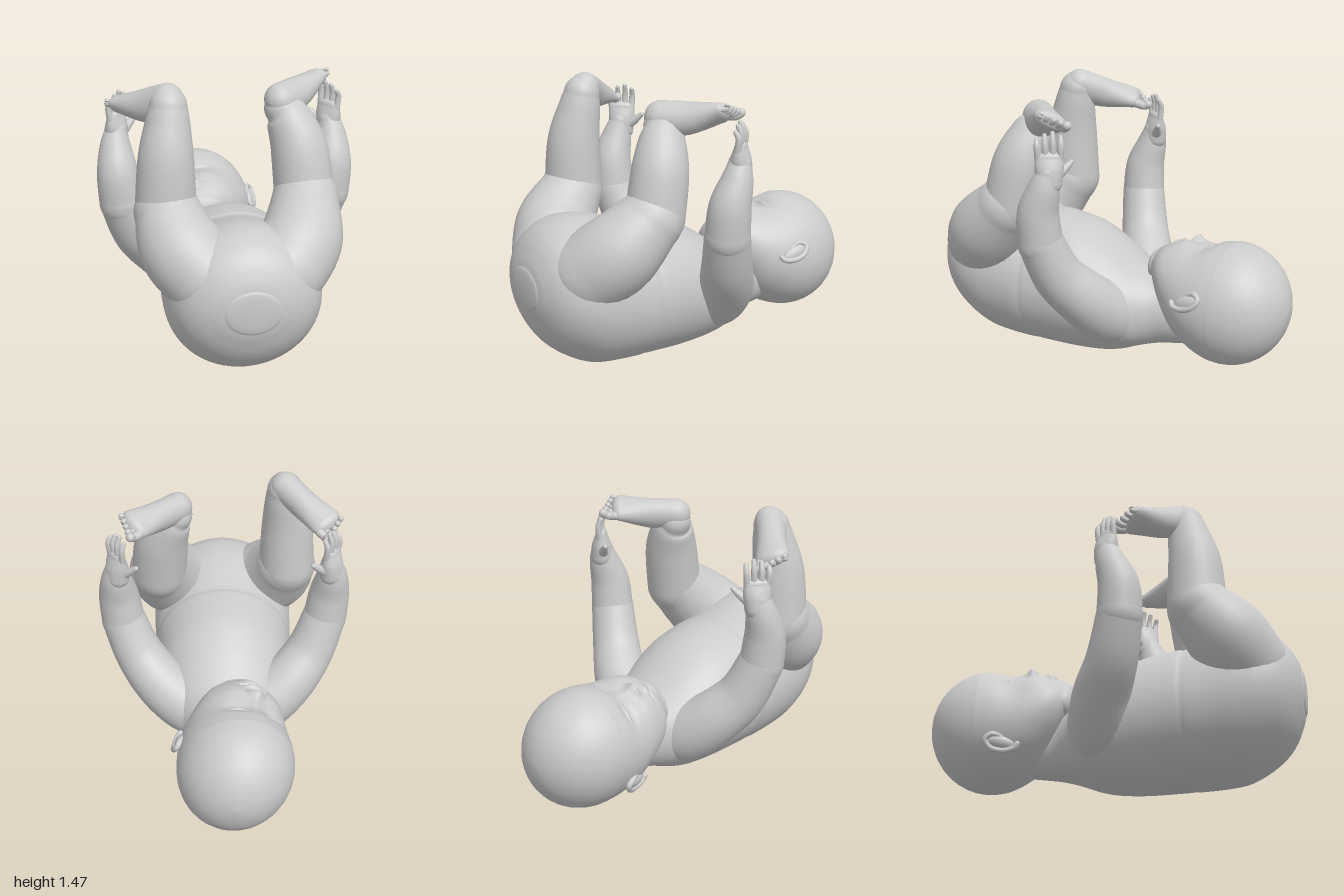
import * as THREE from 'three';

const material = new THREE.MeshStandardMaterial({ color: 0xcccccc, roughness: 0.8 });
const V = (x, y, z) => new THREE.Vector3(x, y, z);

// Catmull-Rom interpolation of whole station rows
function stationAt(rows, i, t) {
  const row = k => rows[Math.min(Math.max(k, 0), rows.length - 1)];
  const [p, q, r, s] = [row(i - 1), row(i), row(i + 1), row(i + 2)];
  return q.map((_, k) => 0.5 * (2 * q[k] + (r[k] - p[k]) * t
    + (2 * p[k] - 5 * q[k] + 4 * r[k] - s[k]) * t * t
    + (3 * q[k] - p[k] - 3 * r[k] + s[k]) * t * t * t));
}

// Smooth skin over elliptical stations [x, y, z, sideRadius, upRadius], with rounded ends
function sweep(stations, { up = V(0, 0, 1), axis, caps = [], sides = 28, steps = 8 } = {}) {
  const rows = stations.map(s => [s[0], s[1], s[2], s[3], s[4] ?? s[3]]);
  const line = [];
  for (let i = 0; i < rows.length - 1; i++)
    for (let k = 0; k < steps; k++) line.push(stationAt(rows, i, k / steps));
  line.push(rows[rows.length - 1]);
  const centre = line.map(s => V(s[0], s[1], s[2]));
  const last = line.length - 1;
  const rings = line.map((s, i) => ({
    c: centre[i], a: s[3], b: s[4],
    T: axis ?? centre[Math.min(i + 1, last)].clone().sub(centre[Math.max(i - 1, 0)]).normalize(),
  }));
  const capRings = (ring, length, dir) => Array.from({ length: 10 }, (_, k) => {
    const angle = (k + 1) / 10 * Math.PI / 2, f = Math.max(Math.cos(angle), 0.001);
    return { c: ring.c.clone().addScaledVector(ring.T, dir * length * Math.sin(angle)), a: ring.a * f, b: ring.b * f, T: ring.T };
  });
  const first = rings[0], end = rings[last];
  const all = [
    ...capRings(first, caps[0] ?? Math.min(first.a, first.b), -1).reverse(),
    ...rings,
    ...capRings(end, caps[1] ?? Math.min(end.a, end.b), 1),
  ];
  const pos = [], index = [];
  all.forEach(({ c, a, b, T }, i) => {
    const S = up.clone().cross(T).normalize(), N = T.clone().cross(S);
    for (let j = 0; j < sides; j++) {
      const w = j / sides * Math.PI * 2;
      const p = c.clone().addScaledVector(S, a * Math.cos(w)).addScaledVector(N, b * Math.sin(w));
      pos.push(p.x, p.y, p.z);
      if (i === all.length - 1) continue;
      const k = (j + 1) % sides, m = i * sides, n = m + sides;
      index.push(m + j, m + k, n + j, m + k, n + k, n + j);
    }
  });
  const geo = new THREE.BufferGeometry();
  geo.setAttribute('position', new THREE.Float32BufferAttribute(pos, 3));
  geo.setIndex(index);
  geo.computeVertexNormals();
  return geo;
}

function add(parent, name, geo) {
  const mesh = new THREE.Mesh(geo, material);
  mesh.name = name;
  parent.add(mesh);
  return mesh;
}

// Profile rows [z, top, bottom, halfWidth] to stations
const profile = (rows, y0 = 0) => rows.map(([z, t, b, w]) => [0, (t + b) / 2 - y0, z, w, (t - b) / 2]);

function makeHead() {
  const head = new THREE.Group();
  head.name = 'head';
  const geo = sweep(profile([
    [-0.245, 0.6, 0.4, 0.14], [-0.31, 0.64, 0.29, 0.21], [-0.4, 0.655, 0.17, 0.255], [-0.5, 0.66, 0.1, 0.285],
    [-0.6, 0.69, 0.06, 0.299], [-0.68, 0.705, 0.05, 0.301],
  ], 0.38), { up: V(0, 1, 0), axis: V(0, 0, -1), caps: [0.055, 0.32], sides: 128, steps: 18 });

  // Facial relief: [x, z, spreadX, spreadZ, height], mirrored when x is not 0
  const relief = [
    [0, -0.43, 0.026, 0.024, 0.04], [0, -0.48, 0.02, 0.04, 0.016], [0.03, -0.42, 0.015, 0.014, 0.018],
    [0.1, -0.54, 0.05, 0.03, -0.03], [0.1, -0.545, 0.034, 0.017, 0.026], [0.1, -0.533, 0.036, 0.004, -0.01],
    [0.1, -0.563, 0.04, 0.004, -0.008], [0.12, -0.4, 0.06, 0.055, 0.018], [0.017, -0.348, 0.026, 0.01, 0.014],
    [0, -0.314, 0.038, 0.012, 0.02], [0, -0.331, 0.055, 0.005, -0.014], [0.065, -0.335, 0.01, 0.01, -0.008],
    [0, -0.29, 0.035, 0.011, -0.008], [0, -0.255, 0.045, 0.025, 0.016],
  ];
  const p = geo.attributes.position;
  for (let i = 0; i < p.count; i++) {
    const x = p.getX(i), y = p.getY(i), z = p.getZ(i);
    const front = THREE.MathUtils.smoothstep(y, 0.05, 0.18);
    let dy = 0;
    for (const [bx, bz, sx, sz, h] of relief)
      for (const m of bx ? [-1, 1] : [1])
        dy += h * Math.exp(-(((x - m * bx) / sx) ** 2 + ((z - bz) / sz) ** 2) / 1.4);
    p.setY(i, y + dy * front);
  }
  geo.computeVertexNormals();
  add(head, 'skull and face', geo);

  // Ears: curled rim, inner shell and lobe
  for (const s of [-1, 1]) {
    const ear = new THREE.Group();
    ear.name = s > 0 ? 'leftEar' : 'rightEar';
    const rim = [[0, 0.03, -0.025], [0.02, 0.036, -0.075], [0.032, 0, -0.1], [0.032, -0.034, -0.06],
      [0.02, -0.034, 0], [0.008, -0.01, 0.05], [0, 0.015, 0.06]];
    add(ear, 'ear rim', sweep(rim.map(([x, y, z]) => [s * x, y, z, 0.015]), { up: V(1, 0, 0), sides: 12 }));
    const shell = add(ear, 'ear shell', new THREE.SphereGeometry(1, 24, 16));
    shell.scale.set(0.024, 0.036, 0.075);
    shell.position.set(s * 0.008, 0, -0.025);
    shell.rotation.y = s * -0.2;
    ear.position.set(s * 0.283, -0.06, -0.53);
    ear.rotation.x = 0.3;
    head.add(ear);
  }
  head.position.set(-0.04, 0.38, 0);
  head.rotation.z = 0.4;
  return head;
}

function makeArm(s) {
  const arm = new THREE.Group();
  arm.name = s > 0 ? 'leftArm' : 'rightArm';
  const side = rows => rows.map(([x, ...rest]) => [s * x, ...rest]);
  add(arm, 'upper arm', sweep(side([[0.06, 0.23, -0.07, 0.16], [0.21, 0.295, -0.05, 0.168], [0.35, 0.405, -0.01, 0.15],
    [0.47, 0.55, 0.07, 0.132], [0.55, 0.75, 0.125, 0.118]])));
  add(arm, 'forearm', sweep(side([[0.55, 0.74, 0.125, 0.117], [0.567, 0.9, 0.125, 0.108],
    [0.572, 1.03, 0.088, 0.084], [0.566, 1.12, 0.066, 0.058]])));

  // Hand: palm width runs along w, the index finger first
  const w = V(-0.6 * s, 0, -0.8), thick = V(0.8 * s, 0, -0.6);
  const at = (u, y, d = 0) => V(s * 0.562, y, 0.058).addScaledVector(w, u).addScaledVector(thick, d).toArray();
  add(arm, 'palm', sweep([[...at(0, 1.07), 0.064, 0.06], [...at(0, 1.14), 0.073, 0.052],
    [...at(0, 1.2), 0.07, 0.03]], { up: thick }));
  [0.1, 0.12, 0.11, 0.085].forEach((len, i) => {
    const u = 0.054 - i * 0.036;
    add(arm, 'finger', sweep([[...at(u, 1.19), 0.018], [...at(u * 1.1, 1.22 + len * 0.4, 0.006), 0.016],
      [...at(u * 1.1, 1.2 + len, -0.01), 0.012]], { sides: 12, steps: 5 }));
  });
  add(arm, 'thumb', sweep([[...at(0.03, 1.1, -0.01), 0.034], [...at(0.075, 1.13, -0.025), 0.023],
    [...at(0.115, 1.165, -0.04), 0.013]], { sides: 12 }));
  return arm;
}

function makeLeg(s, { thigh, shin, heel, ball, sole }) {
  const leg = new THREE.Group();
  leg.name = s > 0 ? 'leftLeg' : 'rightLeg';
  add(leg, 'thigh', sweep(thigh));
  add(leg, 'shin', sweep(shin));

  // Foot from heel to ball, then toes from the big toe outward
  const F = ball.clone().sub(heel).normalize();
  const medial = F.clone().cross(sole).normalize().multiplyScalar(-s);
  const mid = heel.clone().lerp(ball, 0.45).addScaledVector(sole, -0.015);
  add(leg, 'foot', sweep([[...heel, 0.08, 0.085], [...mid, 0.078, 0.085], [...ball, 0.088, 0.048]], { up: sole }));
  for (let i = 0; i < 5; i++) {
    const r = i ? 0.0185 - i * 0.001 : 0.024;
    const root = ball.clone().addScaledVector(medial, 0.064 - i * 0.033).addScaledVector(F, 0.025 - i * 0.006);
    const knuckle = root.clone().addScaledVector(F, 0.04).addScaledVector(sole, -0.006);
    const tip = root.clone().addScaledVector(F, 0.065 - i * 0.005).addScaledVector(sole, 0.01);
    add(leg, 'toe', sweep([[...root, r], [...knuckle, r * 0.9], [...tip, r]], { up: sole, sides: 12, steps: 5 }));
  }
  return leg;
}

export function createModel() {
  const model = new THREE.Group();
  model.name = 'lying baby';

  // Neck, chest, belly and pelvis in one skin
  add(model, 'torso', sweep(profile([
    [-0.45, 0.42, 0.12, 0.12], [-0.32, 0.46, 0.1, 0.155], [-0.25, 0.475, 0.085, 0.2], [-0.18, 0.505, 0.065, 0.265],
    [-0.1, 0.56, 0.035, 0.31], [0, 0.63, 0.012, 0.335], [0.15, 0.71, 0, 0.36], [0.34, 0.745, 0.002, 0.38],
    [0.39, 0.744, 0.005, 0.381], [0.44, 0.755, 0.003, 0.388], [0.58, 0.8, 0.01, 0.395], [0.68, 0.82, 0.028, 0.395],
    [0.78, 0.815, 0.078, 0.38], [0.87, 0.775, 0.147, 0.337], [0.93, 0.715, 0.225, 0.275], [0.97, 0.64, 0.315, 0.195],
    [0.985, 0.59, 0.365, 0.14],
  ]), { up: V(0, 1, 0), axis: V(0, 0, 1), caps: [0.05, 0.015], sides: 64 }));

  model.add(makeHead());
  for (const s of [-1, 1]) model.add(makeArm(s));

  model.add(makeLeg(1, {
    thigh: [[0.2, 0.575, 0.715, 0.212], [0.305, 0.69, 0.61, 0.21], [0.355, 0.84, 0.46, 0.168]],
    shin: [[0.355, 0.85, 0.43, 0.152], [0.335, 1.08, 0.385, 0.145], [0.285, 1.23, 0.34, 0.115], [0.255, 1.28, 0.325, 0.09]],
    heel: V(0.245, 1.325, 0.325), ball: V(0.46, 1.36, 0.11), sole: V(-0.32, 0.89, -0.32),
  }));
  model.add(makeLeg(-1, {
    thigh: [[-0.2, 0.575, 0.715, 0.212], [-0.305, 0.69, 0.63, 0.21], [-0.355, 0.83, 0.51, 0.168]],
    shin: [[-0.36, 0.84, 0.49, 0.155], [-0.355, 1.1, 0.485, 0.14], [-0.34, 1.28, 0.455, 0.112], [-0.335, 1.36, 0.44, 0.095]],
    heel: V(-0.335, 1.385, 0.425), ball: V(-0.535, 1.3, 0.2), sole: V(0.2, 0.93, -0.3),
  }));
  return model;
}
